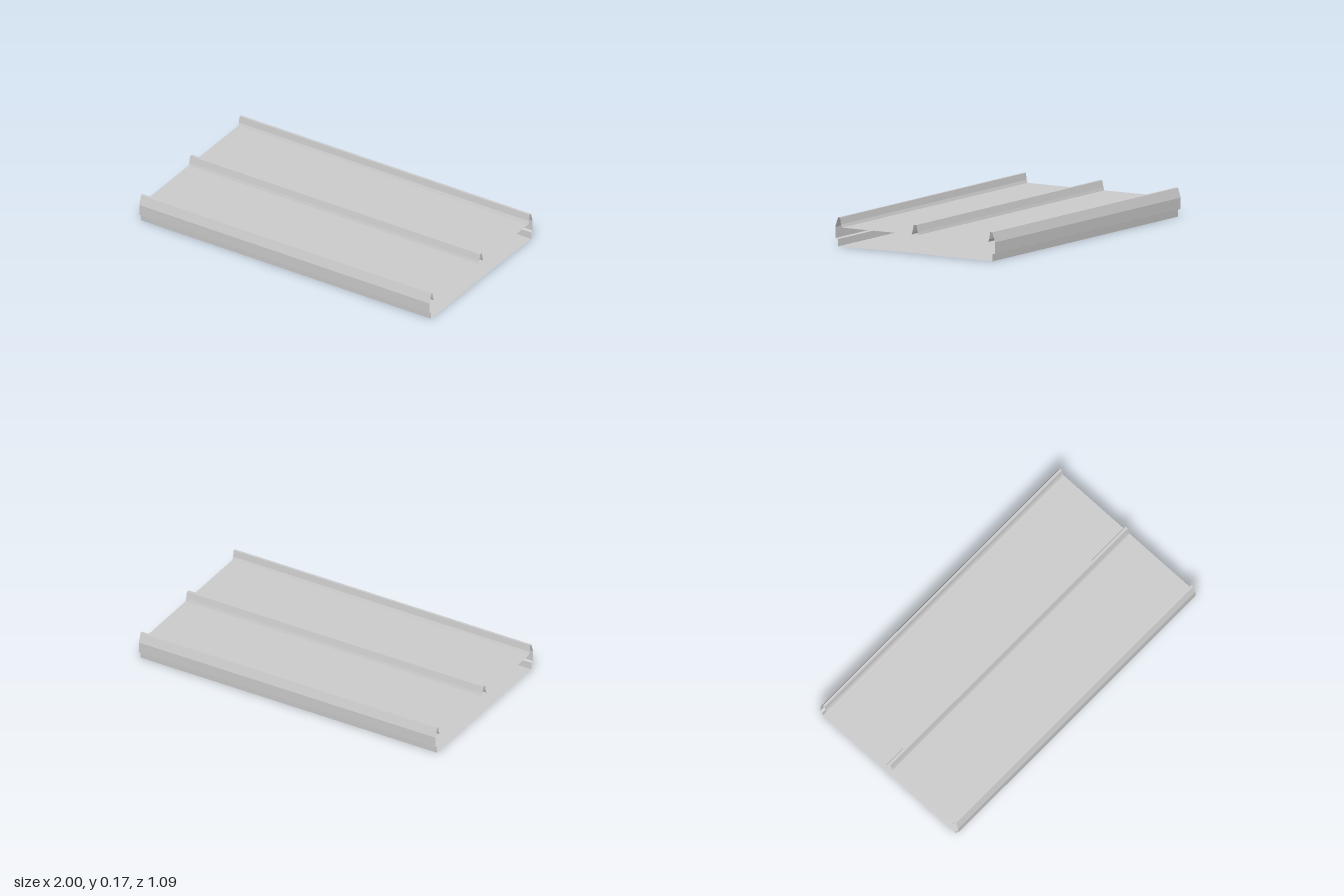
import * as THREE from 'three';

const LENGTH = 2;
const material = new THREE.MeshStandardMaterial({ color: 0xcccccc, side: THREE.DoubleSide, flatShading: true });

// Sweeps an open folded profile of [z, y] points along x as thin sheet
function sheet(name, profile) {
  const pos = [];
  const h = LENGTH / 2;
  for (let i = 0; i < profile.length - 1; i++) {
    const [z0, y0] = profile[i];
    const [z1, y1] = profile[i + 1];
    pos.push(-h, y0, z0, h, y0, z0, h, y1, z1, -h, y0, z0, h, y1, z1, -h, y1, z1);
  }
  const geometry = new THREE.BufferGeometry();
  geometry.setAttribute('position', new THREE.Float32BufferAttribute(pos, 3));
  geometry.computeVertexNormals();
  const mesh = new THREE.Mesh(geometry, material);
  mesh.name = name;
  return mesh;
}

const mirror = (profile) => profile.map(([z, y]) => [-z, y]).reverse();

export function createModel() {
  const group = new THREE.Group();
  group.name = 'foldedPanel';

  // Bottom skin, rising very slightly to the middle seam
  group.add(sheet('floor', [[-0.528, 0], [0, 0.004], [0.528, 0]]));

  // Outer walls: stepped side, inward lean, narrow cap, inner foot
  const wall = [
    [0.528, 0], [0.53, 0.042], [0.547, 0.047], [0.547, 0.113],
    [0.528, 0.17], [0.514, 0.17], [0.508, 0.13], [0.501, 0.112],
  ];
  group.add(sheet('frontWall', wall));
  group.add(sheet('backWall', mirror(wall)));

  // Upper deck between the ribs
  const deck = [[0.501, 0.112], [0.024, 0.112]];
  group.add(sheet('frontDeck', deck));
  group.add(sheet('backDeck', mirror(deck)));

  // Standing rib along the middle, flared at its foot
  const halfRib = [[0.024, 0.112], [0.018, 0.13], [0.009, 0.17]];
  group.add(sheet('middleRib', [...halfRib, ...mirror(halfRib)]));

  return group;
}
